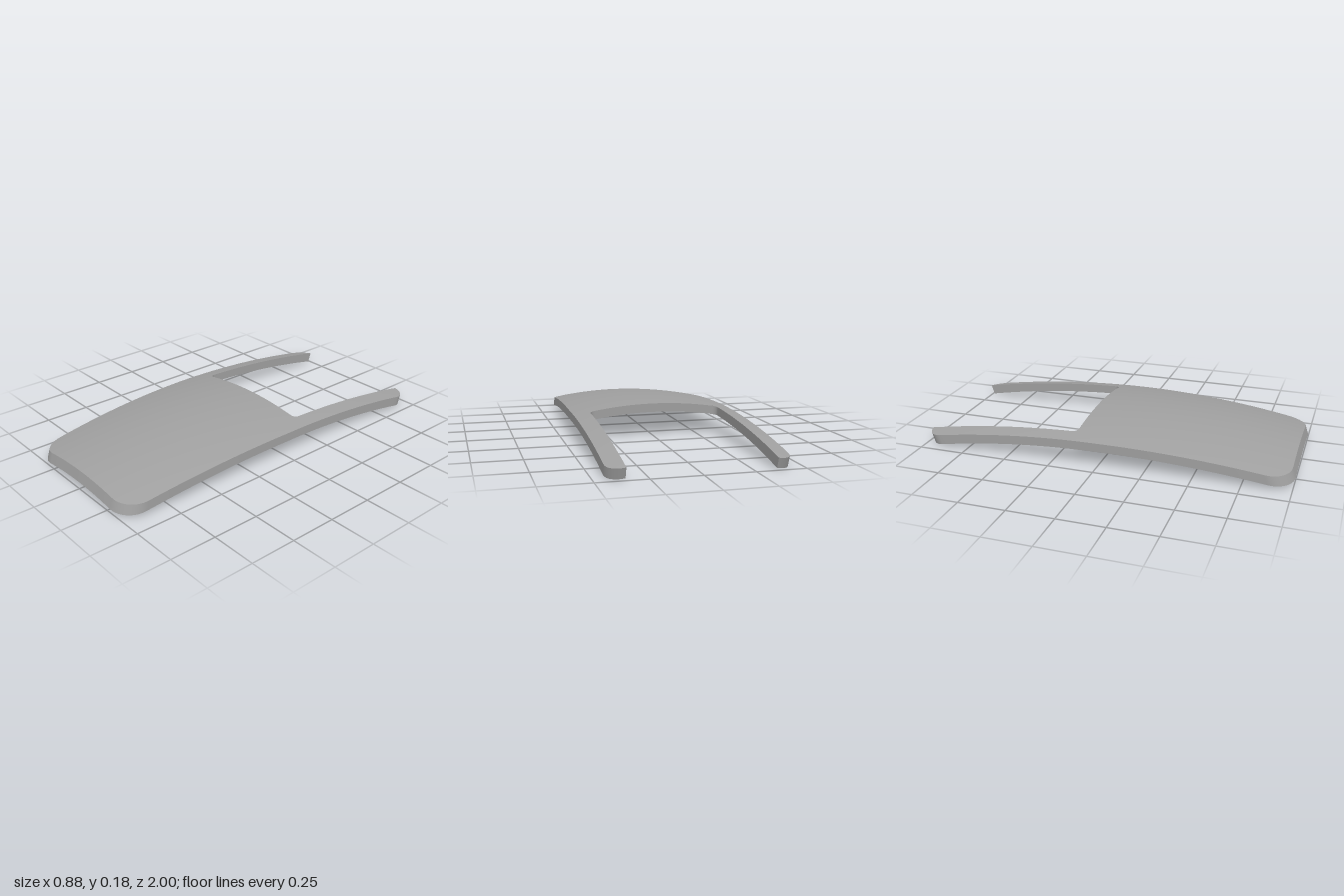
import * as THREE from 'three';

const A = 0.248, B = 0.093, TOP = 0.188;   // crown across, crown along, peak height
const SLOT = -0.135, INNER = 0.357, FRONT = 0.984;

// Point on the domed top (side 0) or on the underside (side 1)
function place(x, z, side) {
  const y = TOP - A * x * x - B * z * z;
  const thick = 0.047 + 0.006 * z * z;
  return [x, y - side * thick, z + side * 0.018 * Math.abs(z)];
}

// Half width of the outer outline: parallel at the back, tapering to the front
function taper(z) {
  return z < 0 ? 0.441 : 0.441 - 0.017 * z - 0.028 * z * z;
}
function outerX(z) {
  let w = taper(z);
  const rf = 0.12, rb = 0.085;
  if (z > FRONT - rf) {
    const d = z - FRONT + rf;
    w -= rf - Math.sqrt(Math.max(0, rf * rf - d * d));
  }
  if (z < -1 + rb) {
    const d = -1 + rb - z;
    w -= rb - Math.sqrt(Math.max(0, rb * rb - d * d));
  }
  return Math.max(w, INNER - 0.001 * (z < 0) - (z > 0 ? 1 : 0));
}
// Half width of the slot, with small rounded corners
function innerX(z) {
  const r = 0.03, d = Math.max(0, z - (SLOT - r));
  return INNER - r + Math.sqrt(Math.max(0, r * r - d * d));
}

// Rows between two stations, easing into rounded ends
function steps(a, b, n, ease) {
  return Array.from({ length: n + 1 }, (_, i) => {
    const t = i / n;
    return a + (b - a) * (ease === 'out' ? Math.sin(t * Math.PI / 2)
      : ease === 'in' ? 1 - Math.cos(t * Math.PI / 2) : t);
  });
}

// Grid of points to an indexed geometry
function grid(rows, flip, normalAt) {
  const pos = [], idx = [], nor = [], n = rows[0].length;
  rows.forEach((row, j) => row.forEach((p, i) => {
    pos.push(...p);
    if (normalAt) nor.push(...normalAt(p));
    if (i && j) {
      const d = j * n + i, c = d - 1, b = d - n, a = b - 1;
      idx.push(...(flip ? [a, b, c, b, d, c] : [a, c, b, b, c, d]));
    }
  }));
  const g = new THREE.BufferGeometry();
  g.setAttribute('position', new THREE.Float32BufferAttribute(pos, 3));
  g.setIndex(idx);
  if (normalAt) g.setAttribute('normal', new THREE.Float32BufferAttribute(nor, 3));
  else g.computeVertexNormals();
  return g;
}

export function createModel() {
  const model = new THREE.Group();
  const grey = new THREE.MeshStandardMaterial({ color: 0xa0a0a0 });
  grey.name = 'plain grey';
  grey.side = THREE.DoubleSide;

  function add(geometry, name) {
    const mesh = new THREE.Mesh(geometry, grey);
    mesh.name = name;
    model.add(mesh);
  }

  const backZ = [...steps(-1, -0.915, 10, 'in'), ...steps(-0.915, SLOT - 0.03, 24).slice(1),
    ...steps(SLOT - 0.03, SLOT, 6, 'out').slice(1)];
  const bodyZ = [...steps(SLOT, FRONT - 0.12, 30), ...steps(FRONT - 0.12, FRONT, 14, 'out').slice(1)];

  // Domed top and hollow underside of the panel and its two arms
  function skin(zs, left, right, cols, name) {
    for (const side of [0, 1]) {
      const sign = side ? -1 : 1;
      const rows = zs.map(z => steps(left(z), right(z), cols).map(x => place(x, z, side)));
      const normalAt = ([x, , z]) => {
        const v = new THREE.Vector3(2 * A * x, 1, 2 * B * z).normalize().multiplyScalar(sign);
        return [v.x, v.y, v.z];
      };
      add(grid(rows, side === 1, normalAt), name + (side ? 'Underside' : 'Top'));
    }
  }
  skin(bodyZ, z => -outerX(z), outerX, 32, 'panel');
  skin(backZ, innerX, outerX, 5, 'leftArm');
  skin(backZ, z => -outerX(z), z => -innerX(z), 5, 'rightArm');

  // Edge walls follow the same outlines from top to underside
  function wall(half, endX, flip, name) {
    const across = steps(endX, -endX, 24).slice(1, -1).map(x => [x, half[half.length - 1][1]]);
    const path = [...half, ...across, ...half.slice().reverse().map(([x, z]) => [-x, z])];
    add(grid(path.map(([x, z]) => [place(x, z, 0), place(x, z, 1)]), flip, null), name);
  }
  const outer = [[INNER, -1], ...[...backZ, ...bodyZ.slice(1)].map(z => [outerX(z), z]).slice(1)];
  wall(outer, outerX(FRONT), true, 'outerEdge');
  wall(backZ.map(z => [innerX(z), z]), innerX(SLOT), false, 'slotEdge');

  return model;
}
